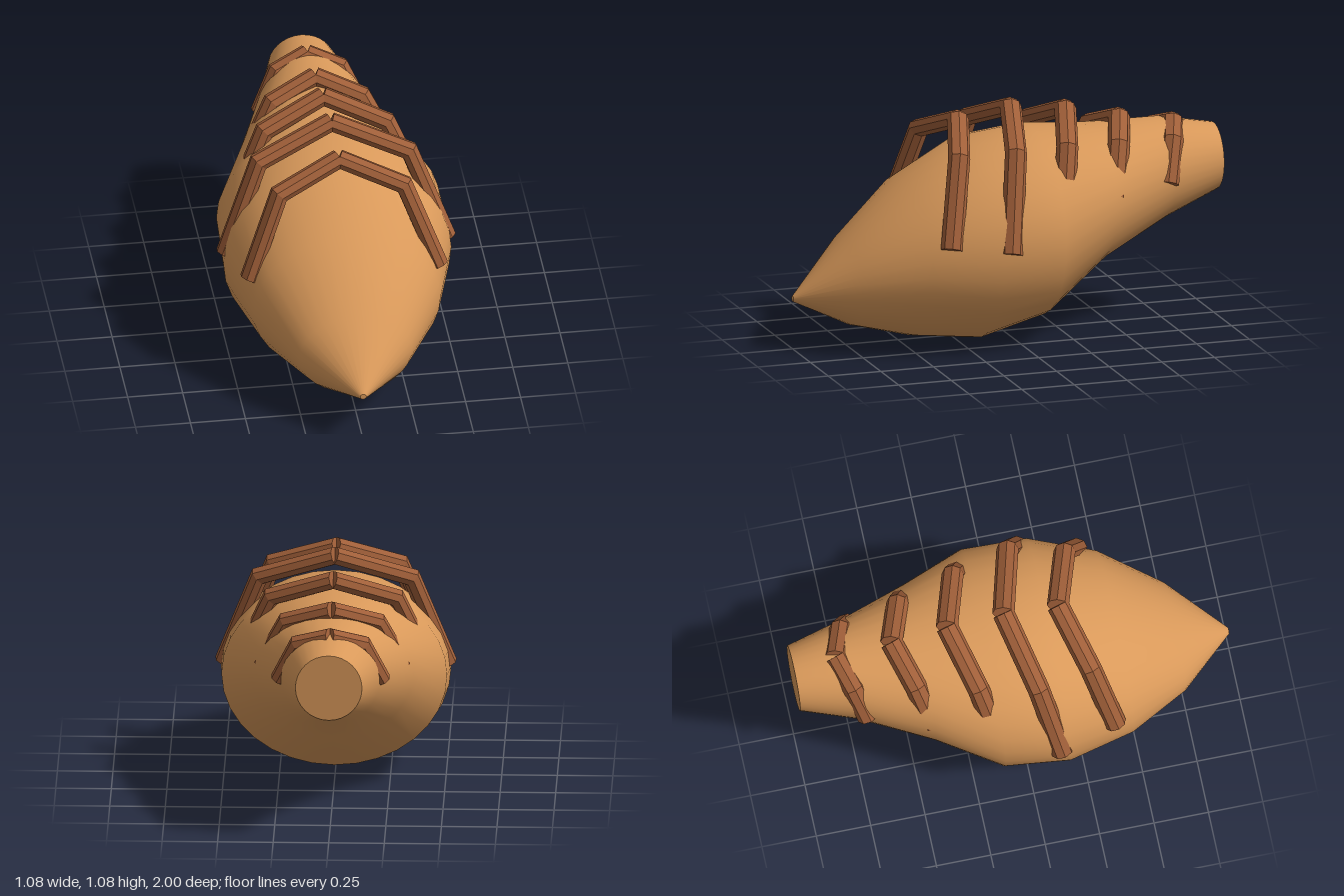
import * as THREE from 'three';

// Skin a tube over rings { c: centre, u, v: half axes }, where u x v points along the sweep
function loft(rings, sides) {
  const pos = [], idx = [];
  const addRing = ({ c, u, v }) => {
    const first = pos.length / 3;
    for (let i = 0; i < sides; i++) {
      const a = (i / sides) * Math.PI * 2;
      const p = c.clone().addScaledVector(u, Math.cos(a)).addScaledVector(v, Math.sin(a));
      pos.push(p.x, p.y, p.z);
    }
    return first;
  };
  rings.forEach(addRing);
  for (let r = 0; r < rings.length - 1; r++) {
    for (let i = 0; i < sides; i++) {
      const a = r * sides + i, b = r * sides + ((i + 1) % sides);
      idx.push(a, b, b + sides, a, b + sides, a + sides);
    }
  }
  // end caps with their own vertices, so their rims stay sharp
  const start = addRing(rings[0]), end = addRing(rings[rings.length - 1]);
  for (let i = 1; i < sides - 1; i++) {
    idx.push(start, start + i + 1, start + i, end, end + i, end + i + 1);
  }
  const g = new THREE.BufferGeometry();
  g.setAttribute('position', new THREE.Float32BufferAttribute(pos, 3));
  g.setIndex(idx);
  g.computeVertexNormals();
  return g;
}

// Mitred bar along three points: spine end, shoulder, tip
function ribGeometry(points, side) {
  const [a, b, c] = points.map(([x, y, z]) => new THREE.Vector3(x * side, y, z));
  const d1 = b.clone().sub(a).normalize(), d2 = c.clone().sub(b).normalize();
  const mid = d1.clone().add(d2).normalize();
  const across = d1.clone().cross(d2).normalize();
  const ring = (p, dir, stretch) => ({
    c: p,
    u: across.clone().cross(dir).multiplyScalar(0.041 * stretch),
    v: across.clone().multiplyScalar(0.05),
  });
  return loft([ring(a, d1, 1), ring(b, mid, 1 / mid.dot(d1)), ring(c, d2, 1)], 8);
}

export function createModel() {
  const model = new THREE.Group();
  const shell = new THREE.MeshStandardMaterial({ color: 0xd9995a });
  shell.name = 'tan shell';
  const bark = new THREE.MeshStandardMaterial({ color: 0xa05f39, flatShading: true });
  bark.name = 'brown rib';

  // Body stations: z, half width, bottom, top
  const stations = [
    [-1, 0.15, 0.58, 0.885],
    [-0.75, 0.225, 0.475, 0.93],
    [-0.42, 0.365, 0.31, 0.925],
    [-0.13, 0.508, 0.083, 0.942],
    [0.17, 0.518, 0, 0.908],
    [0.475, 0.425, 0.033, 0.745],
    [0.75, 0.255, 0.1, 0.5],
    [1, 0.014, 0.22, 0.246],
  ];
  const body = new THREE.Mesh(loft(stations.map(([z, w, lo, hi]) => ({
    c: new THREE.Vector3(0, (lo + hi) / 2, z),
    u: new THREE.Vector3(w, 0, 0),
    v: new THREE.Vector3(0, (hi - lo) / 2, 0),
  })), 32), shell);
  body.name = 'body';
  model.add(body);

  // Ribs from front to back, each a mirrored pair meeting over the spine
  const ribs = [
    [[0, 1.006, 0.215], [0.285, 0.898, 0.305], [0.432, 0.515, 0.39]],
    [[0, 1.043, -0.035], [0.343, 0.915, 0.055], [0.505, 0.49, 0.13]],
    [[0, 1.013, -0.295], [0.28, 0.905, -0.21], [0.415, 0.6, -0.145]],
    [[0, 0.953, -0.55], [0.205, 0.878, -0.48], [0.315, 0.66, -0.425]],
    [[0, 0.91, -0.805], [0.145, 0.86, -0.755], [0.23, 0.68, -0.705]],
  ];
  ribs.forEach((points, i) => {
    const pair = new THREE.Group();
    pair.name = `ribPair${i + 1}`;
    for (const side of [1, -1]) {
      const rib = new THREE.Mesh(ribGeometry(points, side), bark);
      rib.name = side > 0 ? 'leftRib' : 'rightRib';
      pair.add(rib);
    }
    model.add(pair);
  });
  return model;
}
